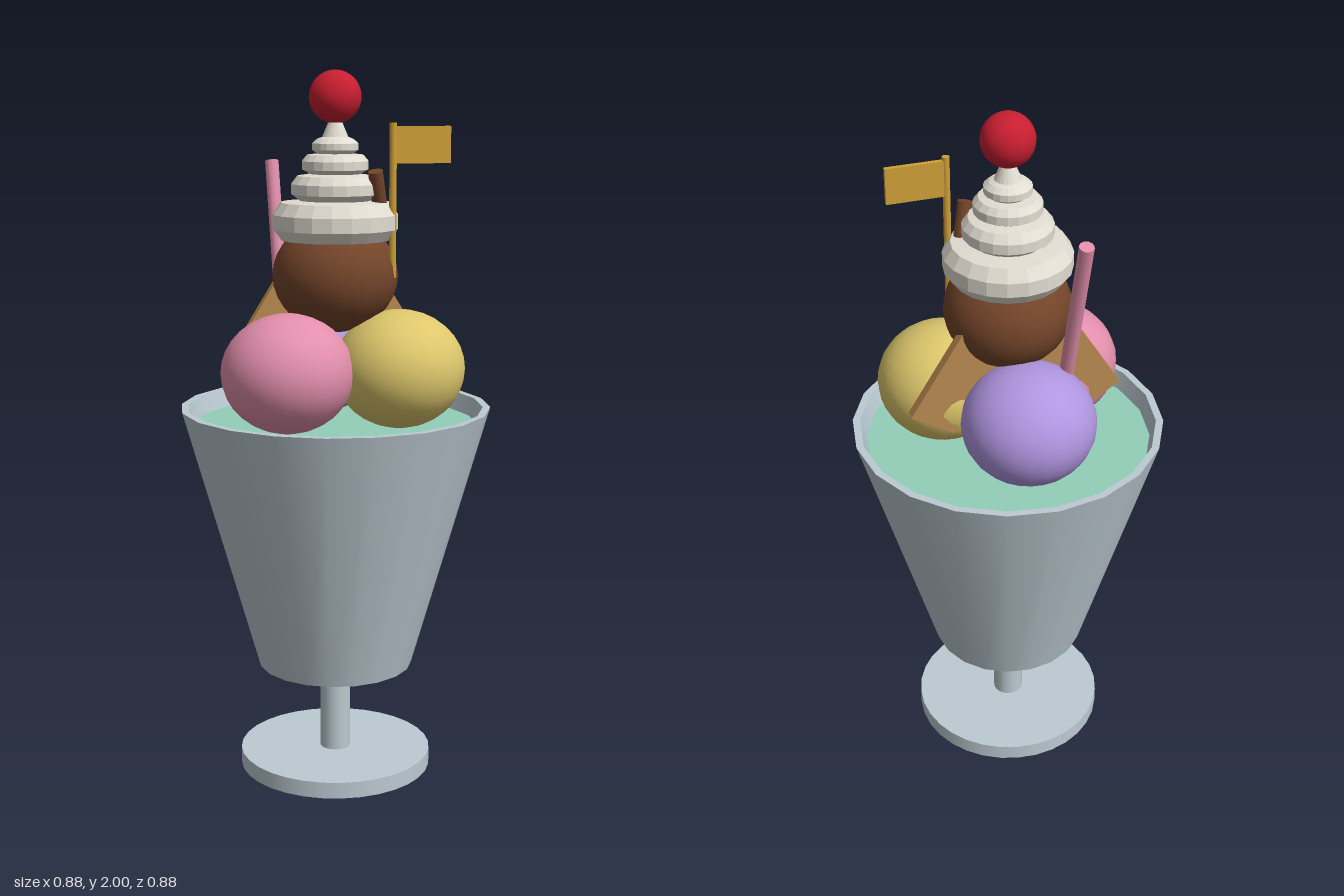
import * as THREE from 'three';

const mat = (name, color, side = THREE.FrontSide) => {
  const m = new THREE.MeshStandardMaterial({ color, side });
  m.name = name;
  return m;
};

export function createModel() {
  const group = new THREE.Group();
  group.name = 'iceCreamSundae';

  const glass = mat('glass grey', 0xbccad2, THREE.DoubleSide);
  const mint = mat('mint green', 0x93cfb8);
  const pink = mat('strawberry pink', 0xe28fac);
  const yellow = mat('vanilla yellow', 0xdec76c);
  const purple = mat('berry purple', 0xb095e0);
  const brown = mat('chocolate brown', 0x74452a);
  const cream = mat('whipped cream', 0xe2ddd2, THREE.DoubleSide);
  const gold = mat('gold', 0xcfa036);
  const wafer = mat('wafer tan', 0xba8b50);
  const red = mat('cherry red', 0xc81e30);

  const add = (name, geometry, material, x = 0, y = 0, z = 0) => {
    const mesh = new THREE.Mesh(geometry, material);
    mesh.name = name;
    mesh.position.set(x, y, z);
    group.add(mesh);
    return mesh;
  };
  // round stick running between two points
  const stick = (name, from, to, radius, material, sides = 12) => {
    const a = new THREE.Vector3(...from), b = new THREE.Vector3(...to);
    const dir = b.clone().sub(a);
    const mesh = add(name, new THREE.CylinderGeometry(radius, radius, dir.length(), sides), material);
    mesh.position.copy(a).add(b).multiplyScalar(0.5);
    mesh.quaternion.setFromUnitVectors(new THREE.Vector3(0, 1, 0), dir.normalize());
  };

  // footed glass
  add('base', new THREE.CylinderGeometry(0.277, 0.277, 0.047, 32), glass, 0, 0.0235, 0);
  add('stem', new THREE.CylinderGeometry(0.044, 0.044, 0.27, 20), glass, 0, 0.18, 0);
  add('cupWall', new THREE.CylinderGeometry(0.438, 0.222, 0.76, 20, 1, true), glass, 0, 0.69, 0);
  add('cupFloor', new THREE.CircleGeometry(0.222, 20), glass, 0, 0.31, 0).rotation.x = Math.PI / 2;
  add('cupRim', new THREE.RingGeometry(0.417, 0.438, 20, 1), glass, 0, 1.07, 0).rotation.x = -Math.PI / 2;
  add('cupInnerWall', new THREE.CylinderGeometry(0.417, 0.4, 0.055, 20, 1, true), glass, 0, 1.0425, 0);
  add('mintFilling', new THREE.CircleGeometry(0.403, 20), mint, 0, 1.02, 0).rotation.x = -Math.PI / 2;

  // slightly flattened scoops
  const scoop = (name, material, x, y, z, r) =>
    add(name, new THREE.SphereGeometry(r, 24, 16), material, x, y, z).scale.y = 0.9;
  scoop('strawberryScoop', pink, -0.16, 1.185, 0.092, 0.184);
  scoop('vanillaScoop', yellow, 0.16, 1.185, 0.092, 0.184);
  scoop('berryScoop', purple, 0, 1.185, -0.185, 0.184);
  scoop('chocolateScoop', brown, 0, 1.44, 0, 0.175);

  // tiered whipped cream: radius, height
  const profile = [
    [0, 1.54], [0.152, 1.54], [0.174, 1.57], [0.174, 1.61], [0.152, 1.643], [0.1, 1.648],
    [0.122, 1.665], [0.122, 1.693], [0.105, 1.715], [0.07, 1.72],
    [0.092, 1.732], [0.092, 1.755], [0.078, 1.772], [0.05, 1.775],
    [0.064, 1.785], [0.064, 1.803], [0.05, 1.815], [0.036, 1.82], [0.015, 1.87], [0, 1.87],
  ].map(([x, y]) => new THREE.Vector2(x, y));
  const swirl = new THREE.LatheGeometry(profile, 20).toNonIndexed();
  swirl.computeVertexNormals();
  add('whippedCream', swirl, cream);
  add('cherry', new THREE.SphereGeometry(0.072, 24, 16), red, 0, 1.928, 0);

  // wafers leaning inwards on both sides
  for (const s of [-1, 1]) {
    add(s > 0 ? 'leftWafer' : 'rightWafer', new THREE.BoxGeometry(0.14, 0.32, 0.03),
      wafer, s * 0.155, 1.294, -0.07).rotation.z = s * 0.56;
  }

  // straw, chocolate stick and flag
  stick('straw', [-0.117, 1.2, -0.122], [-0.117, 1.745, -0.272], 0.02, pink);
  stick('chocolateStick', [0.125, 1.56, 0.045], [0.09, 1.73, 0.085], 0.021, brown);
  stick('flagPole', [0.138, 1.44, 0.092], [0.138, 1.86, 0.092], 0.01, gold, 10);
  add('flag', new THREE.BoxGeometry(0.162, 0.1, 0.013), gold, 0.22, 1.8, 0.092);

  return group;
}
